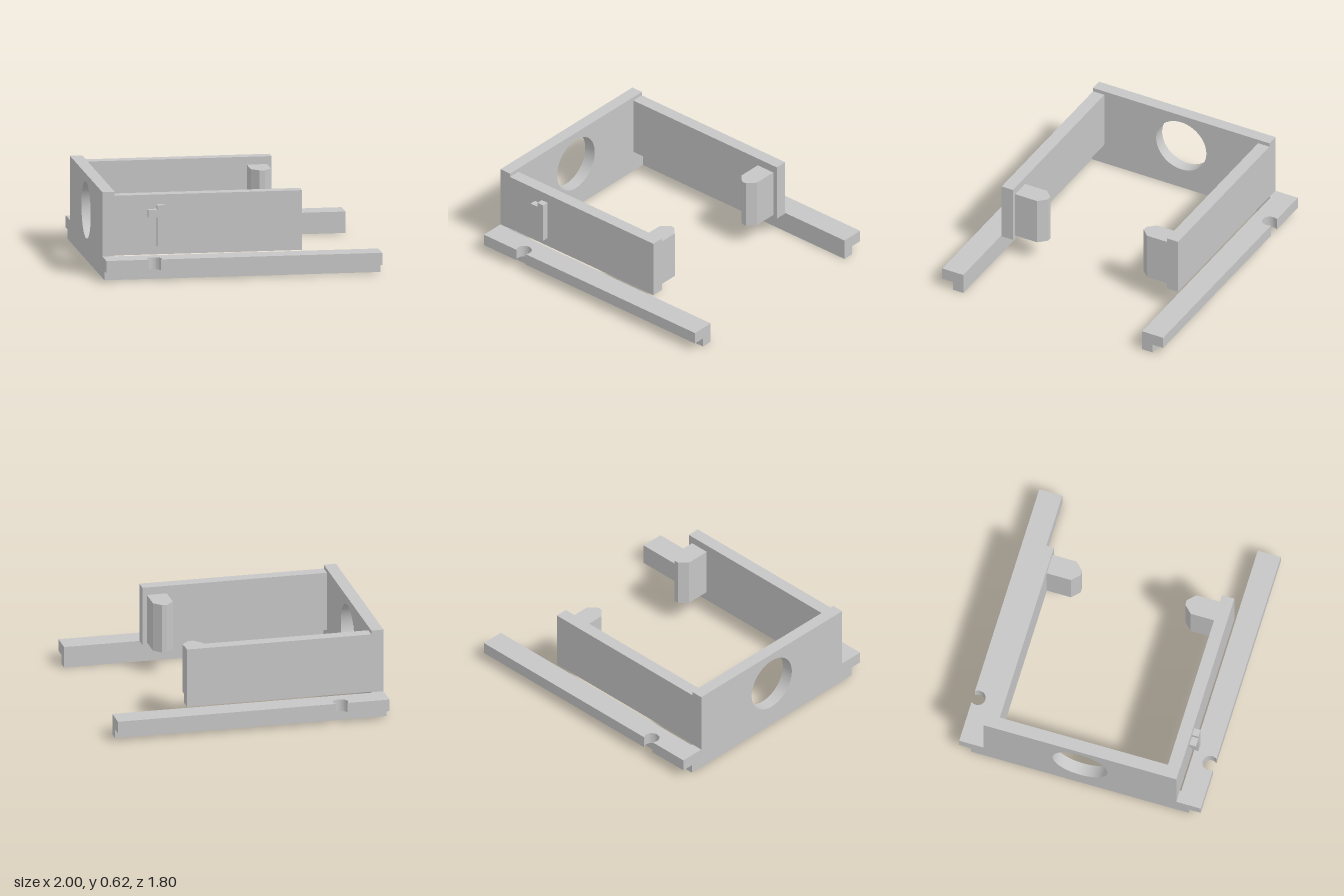
import * as THREE from 'three';
import { toCreasedNormals } from 'three/addons/utils/BufferGeometryUtils.js';

const grey = new THREE.MeshStandardMaterial({ color: 0xc6c6c6 });
grey.name = 'light grey plastic';

const toShape = (pts) => new THREE.Shape(pts.map(([a, b]) => new THREE.Vector2(a, b)));

function extrude(shape, depth) {
  return new THREE.ExtrudeGeometry(shape, { depth, bevelEnabled: false, curveSegments: 48 });
}

function add(parent, name, geometry) {
  const mesh = new THREE.Mesh(toCreasedNormals(geometry, 0.5), grey);
  mesh.name = name;
  parent.add(mesh);
}

// Box given by its limits on each axis
function block(parent, name, [x0, x1], [y0, y1], [z0, z1]) {
  const g = new THREE.BoxGeometry(x1 - x0, y1 - y0, Math.abs(z1 - z0));
  add(parent, name, g.translate((x0 + x1) / 2, (y0 + y1) / 2, (z0 + z1) / 2));
}

// Plan outline in x and z, raised from y0 to y1
function slab(parent, name, pts, y0, y1) {
  add(parent, name, extrude(toShape(pts), y1 - y0).rotateX(Math.PI / 2).translate(0, y1, 0));
}

export function createModel() {
  const model = new THREE.Group();
  model.name = 'railBracket';

  // End plate with a round opening, widened at the foot to meet the rails
  const plate = toShape([
    [-0.732, 0], [0.732, 0], [0.732, 0.156], [0.72, 0.156],
    [0.72, 0.624], [-0.72, 0.624], [-0.72, 0.156], [-0.732, 0.156],
  ]);
  plate.holes.push(new THREE.Path().absarc(0, 0.361, 0.205, 0, Math.PI * 2, true));
  add(model, 'endPlate', extrude(plate, 0.09).rotateY(-Math.PI / 2).translate(-0.91, 0, 0));

  for (const s of [1, -1]) {
    const side = new THREE.Group();
    side.name = s > 0 ? 'frontSide' : 'backSide';
    model.add(side);

    // Stepped rail: narrow foot and wider flange with a round notch
    block(side, 'railFoot', [-1, 1], [0, 0.068], [s * 0.73, s * 0.814]);
    const notch = [];
    const open = Math.asin(0.035 / 0.055);
    for (let i = 0; i <= 24; i++) {
      const a = open - (i / 24) * (Math.PI + 2 * open);
      notch.push([-0.648 + 0.055 * Math.cos(a), s * (0.867 + 0.055 * Math.sin(a))]);
    }
    slab(side, 'railFlange', [
      [-1, s * 0.73], [-1, s * 0.902], ...notch.reverse(), [1, s * 0.902], [1, s * 0.73],
    ], 0.068, 0.156);

    // Side wall held clear of the rail
    block(side, 'sideWall', [-0.91, 0.448], [0.16, 0.595], [s * 0.628, s * 0.72]);

    // Inward post with a chamfered nose
    slab(side, 'post', [
      [0.268, s * 0.628], [0.268, s * 0.448], [0.323, s * 0.391],
      [0.36, s * 0.391], [0.415, s * 0.448], [0.415, s * 0.628],
    ], 0.178, 0.538);
  }

  // Raised hooked tab on the outside of the front wall
  const tab = toShape([
    [-0.609, 0.226], [-0.554, 0.226], [-0.554, 0.525], [-0.609, 0.525],
    [-0.609, 0.492], [-0.673, 0.492], [-0.673, 0.438], [-0.609, 0.438],
  ]);
  add(model, 'hookedTab', extrude(tab, 0.048).translate(0, 0, 0.72));

  return model;
}
